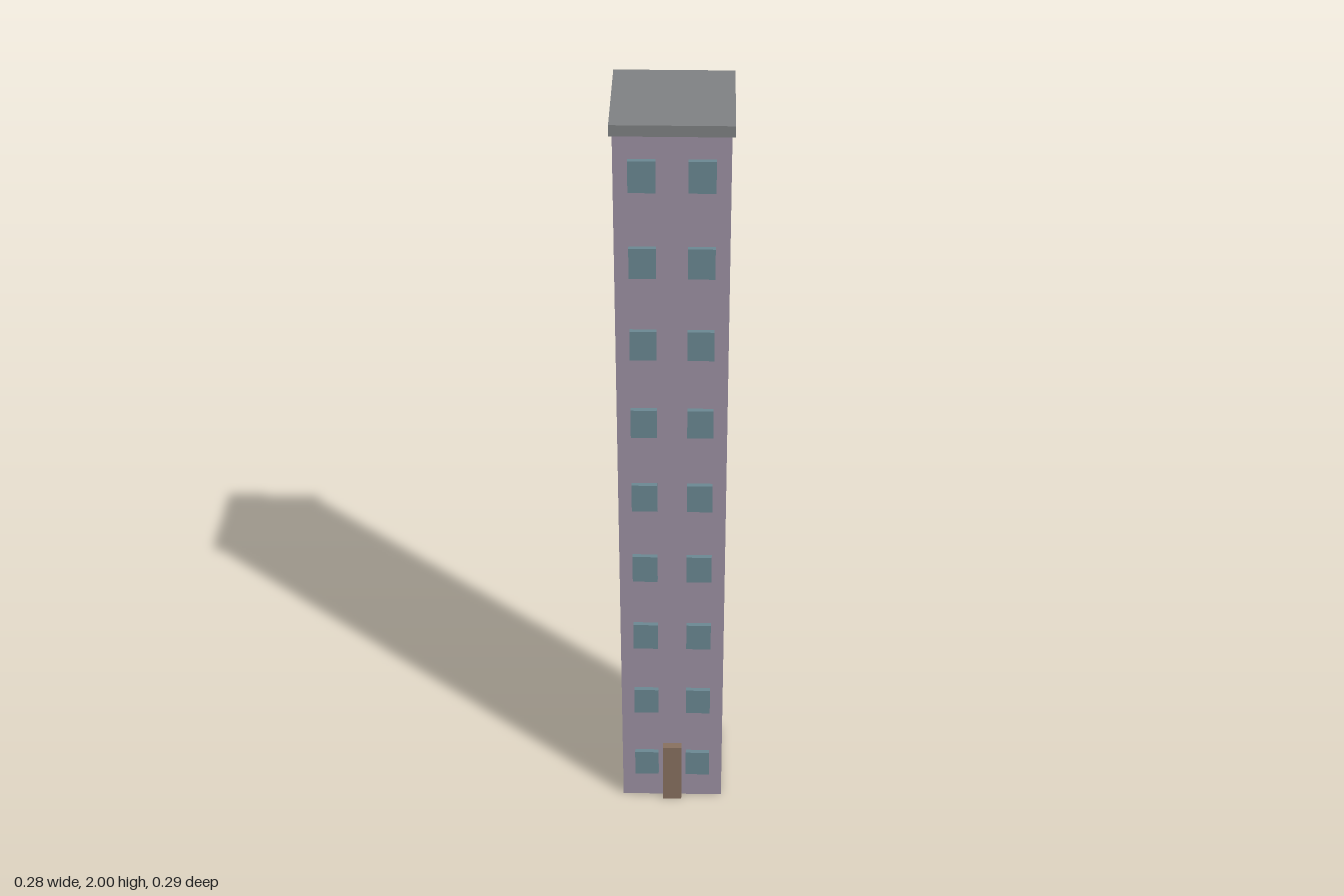
import * as THREE from 'three';

const material = (name, color) => {
  const m = new THREE.MeshStandardMaterial({ color });
  m.name = name;
  return m;
};

export function createModel() {
  const wall = material('mauve wall', 0x9c91a2);
  const roofGrey = material('roof grey', 0x7f8183);
  const glass = material('window blue', 0x6a8792);
  const wood = material('door brown', 0x87705f);

  const model = new THREE.Group();
  model.name = 'towerBlock';

  const box = (name, mat, w, h, d, x, y, z) => {
    const mesh = new THREE.Mesh(new THREE.BoxGeometry(w, h, d), mat);
    mesh.name = name;
    mesh.position.set(x, y, z);
    model.add(mesh);
  };

  const floors = 9;
  const bodyHeight = 1.973;
  const floorHeight = bodyHeight / floors;
  const half = 0.131; // half the width of the square tower
  const zc = -0.004; // tower sits slightly back to make room for the door

  // Tower and flat overhanging roof
  box('tower', wall, half * 2, bodyHeight, half * 2, 0, bodyHeight / 2, zc);
  box('roof', roofGrey, 0.276, 2 - bodyHeight, 0.274, 0, (2 + bodyHeight) / 2, zc);

  // Two windows per floor on the front and back
  for (let floor = 0; floor < floors; floor++) {
    const y = 0.123 + floor * floorHeight;
    for (const side of [1, -1]) {
      for (const x of [-0.067, 0.067]) {
        box(side > 0 ? 'frontWindow' : 'backWindow', glass,
          0.062, 0.078, 0.023, x, y, zc + side * half);
      }
    }
  }

  // Entrance door
  box('door', wood, 0.049, 0.185, 0.037, 0, 0.0925, zc + half);

  return model;
}
